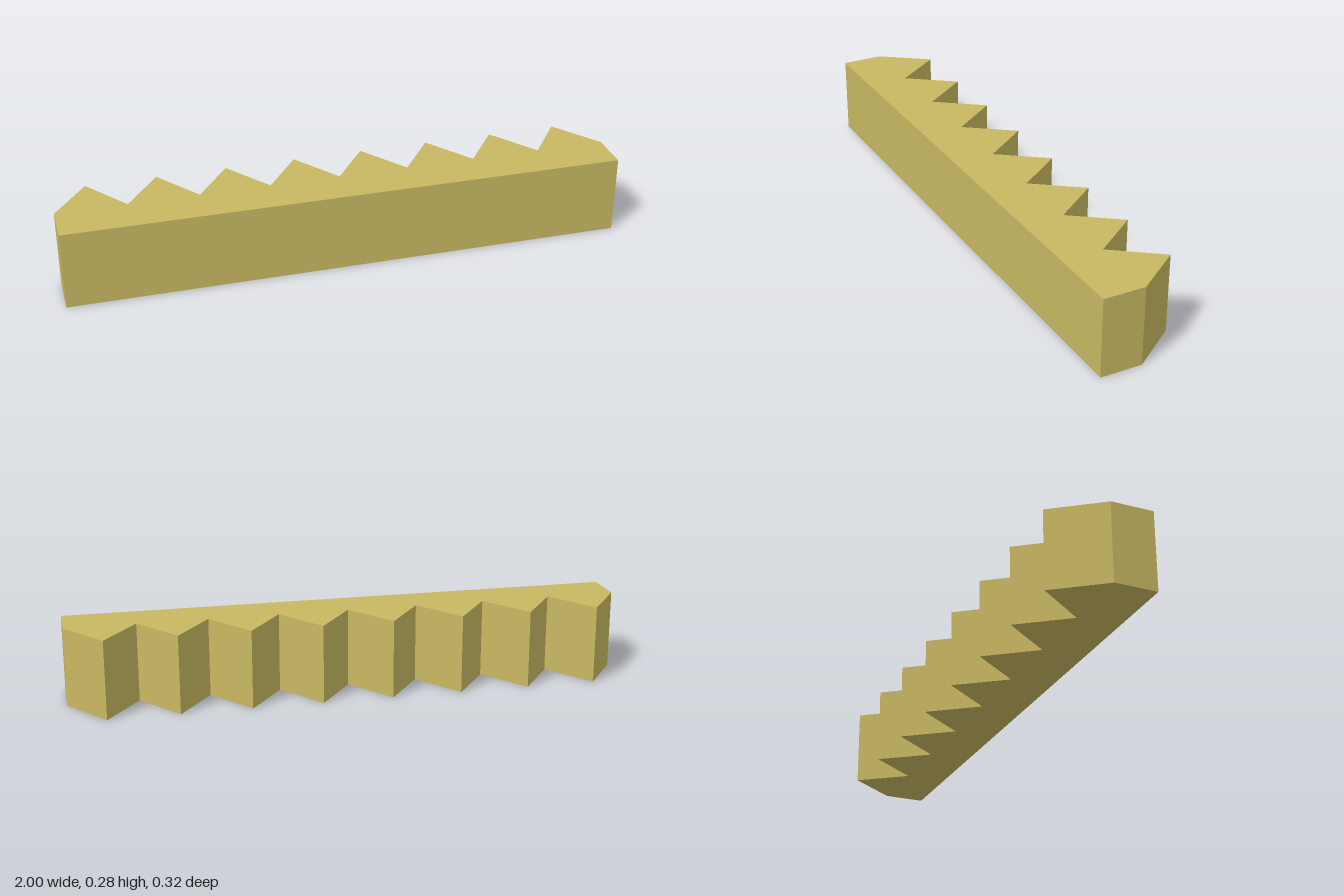
import * as THREE from 'three';

const TEETH = 8, HEIGHT = 0.282, FRONT = 0.16, VALLEY = 0.01, PEAK = -0.16;

export function createModel() {
  const group = new THREE.Group();
  group.name = 'toothedRack';
  const ochre = new THREE.MeshStandardMaterial({ color: 0xc8b862 });
  ochre.name = 'ochre';

  // Plan outline: straight front edge, row of triangular teeth at the back
  const outline = new THREE.Shape();
  outline.moveTo(-1, -FRONT);
  outline.lineTo(1, -FRONT);
  outline.lineTo(1, -VALLEY);
  const pitch = 2 / TEETH;
  for (let i = 0; i < TEETH; i++) {
    const x = 1 - i * pitch;
    outline.lineTo(x - pitch / 2, -PEAK);
    outline.lineTo(x - pitch, -VALLEY);
  }
  outline.closePath();

  // Extruded bar, laid so the outline lies in the ground plane
  const geometry = new THREE.ExtrudeGeometry(outline, { depth: HEIGHT, bevelEnabled: false });
  geometry.rotateX(-Math.PI / 2);
  const bar = new THREE.Mesh(geometry, ochre);
  bar.name = 'toothedBar';
  group.add(bar);
  return group;
}
